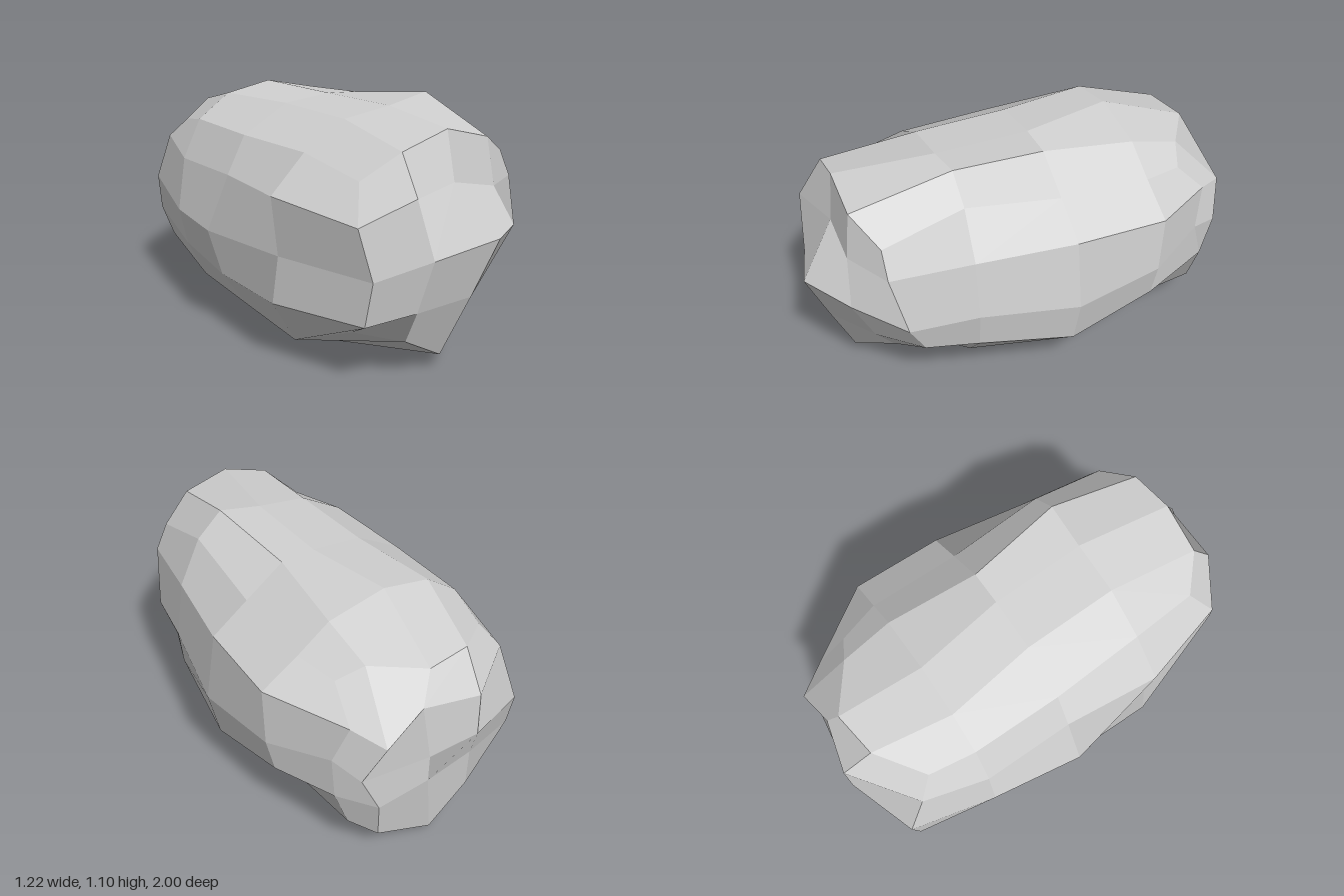
import * as THREE from 'three';

// Middle cross-sections, [x, y] clockwise from the upper -x corner
const sections = [
  { z: .36, outline: [
    [-.385, .915], [-.18, 1.03], [.06, 1.06], [.265, 1.10],
    [.385, .99], [.49, .775], [.53, .51], [.515, .345],
    [.40, .21], [.20, .07], [-.04, 0], [-.24, .035],
    [-.44, .09], [-.55, .285], [-.52, .49], [-.55, .755]] },
  { z: -.08, outline: [
    [-.41, .91], [-.19, 1.03], [.05, 1.05], [.21, 1.04],
    [.39, .91], [.56, .785], [.61, .47], [.56, .245],
    [.39, .13], [.20, .055], [-.03, .03], [-.23, .04],
    [-.42, .10], [-.545, .28], [-.61, .50], [-.50, .74]] },
  { z: -.5, outline: [
    [-.41, .91], [-.25, 1.02], [-.02, 1.06], [.25, 1.0],
    [.40, .89], [.57, .78], [.56, .50], [.52, .33],
    [.38, .185], [.20, .07], [-.03, .04], [-.23, .05],
    [-.41, .12], [-.50, .30], [-.54, .48], [-.50, .73]] },
];

// Uneven rims at both ends, same order
const frontRim = [
  [-.35, .86, .69], [-.22, .98, .79], [0, 1.045, .80], [.22, .985, .80],
  [.38, .89, .72], [.44, .77, .72], [.48, .50, .66], [.44, .34, .58],
  [.33, .28, .53], [.18, .16, .65], [.01, .065, .79], [-.19, .18, .80],
  [-.35, .21, .65], [-.40, .295, .80], [-.40, .50, .85], [-.43, .71, .79],
];
const backRim = [
  [-.37, .87, -.71], [-.17, .93, -.86], [.04, .93, -.89], [.24, .93, -.74],
  [.35, .87, -.69], [.37, .73, -.83], [.42, .55, -.78], [.43, .39, -.82],
  [.36, .20, -.82], [.25, .12, -.89], [-.01, .04, -.92], [-.25, .13, -.87],
  [-.42, .25, -.82], [-.46, .39, -.86], [-.46, .55, -.89], [-.43, .78, -.79],
];

// Inner points of the two end caps, bottom row first
const frontCap = [
  [-.20, .335, .88], [.07, .35, .90], [.26, .33, .75],
  [-.16, .56, .93], [.12, .62, 1], [.34, .60, .86],
  [-.23, .82, .90], [.02, .83, .83], [.24, .78, .83],
];
const backCap = [
  [-.22, .36, -.90], [.05, .38, -.95], [.30, .36, -.95],
  [-.15, .58, -1], [.07, .54, -.97], [.37, .52, -.92],
  [-.14, .79, -1], [.10, .79, -.94], [.29, .69, -.97],
];

// Place of a border cell on the 16-point section
function rimIndex(i, j) {
  if (j === 4) return i;
  if (i === 4) return 8 - j;
  if (j === 0) return 12 - i;
  return 12 + j;
}

// Target position of lattice point (i, j, k); k runs from front to back
function stonePoint(i, j, k) {
  if (i > 0 && i < 4 && j > 0 && j < 4) {
    return (k === 0 ? frontCap : backCap)[(j - 1) * 3 + i - 1];
  }
  const n = rimIndex(i, j);
  if (k === 0) return frontRim[n];
  if (k === 4) return backRim[n];
  const { z, outline } = sections[k - 1];
  return [...outline[n], z];
}

// One shared normal for each four-sided facet, taken over both its triangles
function facetNormals(geometry) {
  const pos = geometry.attributes.position;
  const [a, b, c] = [0, 1, 2].map(() => new THREE.Vector3());
  for (let q = 0; q < pos.count; q += 6) {
    const normal = new THREE.Vector3();
    for (const t of [q, q + 3]) {
      a.fromBufferAttribute(pos, t);
      b.fromBufferAttribute(pos, t + 1).sub(a);
      c.fromBufferAttribute(pos, t + 2).sub(a);
      normal.add(b.cross(c));
    }
    normal.normalize();
    for (let v = q; v < q + 6; v++) {
      geometry.attributes.normal.setXYZ(v, normal.x, normal.y, normal.z);
    }
  }
}

export function createModel() {
  const stone = new THREE.MeshStandardMaterial({ color: 0xd0d0d0 });
  stone.name = 'stone grey';

  // Boulder: a subdivided block pulled onto the sections, rims and caps
  const box = new THREE.BoxGeometry(4, 4, 4, 4, 4, 4);
  const pos = box.attributes.position;
  for (let v = 0; v < pos.count; v++) {
    const i = Math.round(pos.getX(v) + 2);
    const j = Math.round(pos.getY(v) + 2);
    const k = Math.round(2 - pos.getZ(v));
    pos.setXYZ(v, ...stonePoint(i, j, k));
  }
  const geometry = box.toNonIndexed();
  geometry.clearGroups();
  facetNormals(geometry);

  const boulder = new THREE.Mesh(geometry, stone);
  boulder.name = 'boulder';
  const group = new THREE.Group();
  group.name = 'rock';
  group.add(boulder);
  return group;
}
